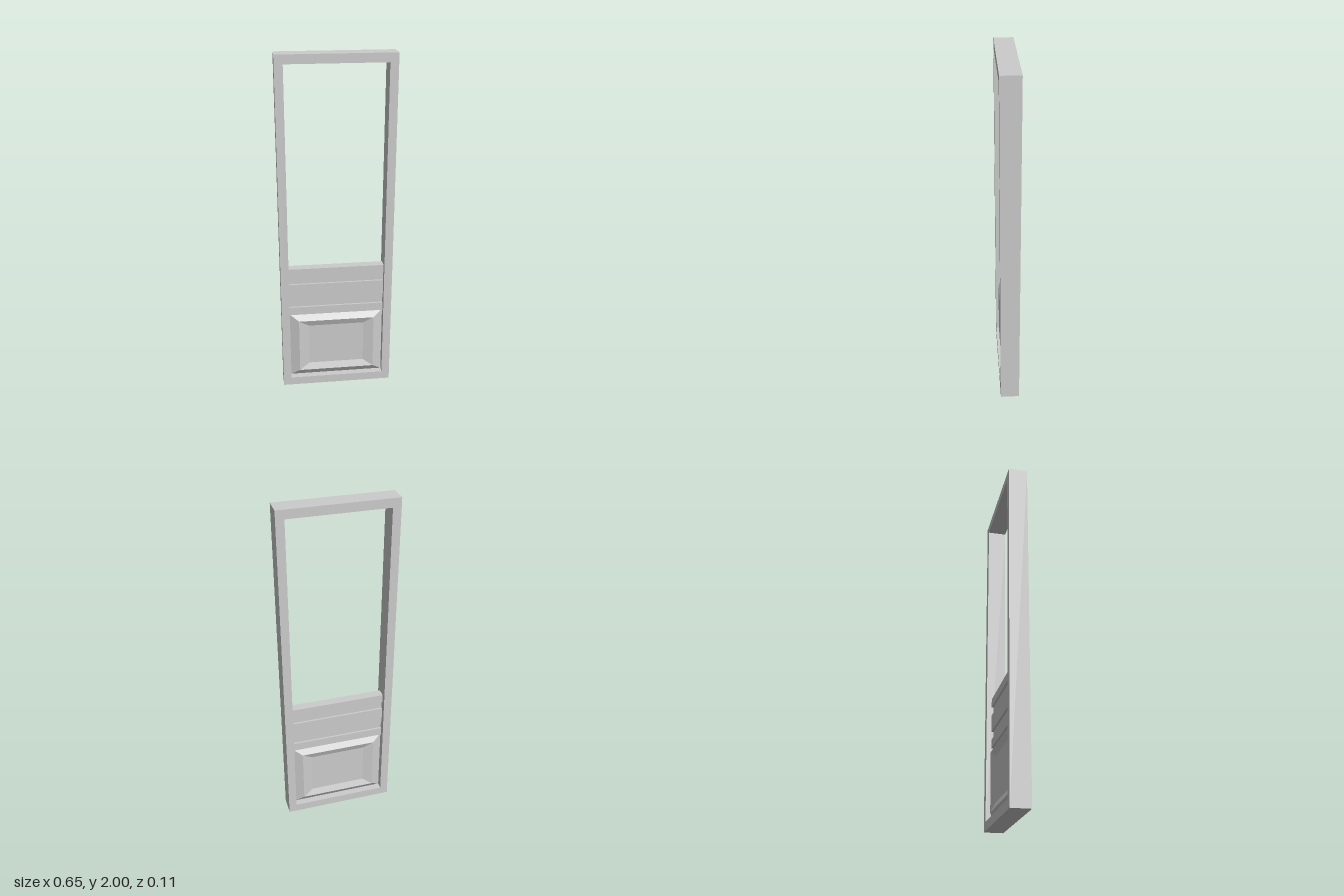
import * as THREE from 'three';

const material = new THREE.MeshStandardMaterial({ color: 0xcccccc, flatShading: true });
const IN_X = 0.28; // half width of the opening
const IN_Y = 0.05; // bottom of the opening

function addMesh(parent, geometry, name) {
  const mesh = new THREE.Mesh(geometry, material);
  mesh.name = name;
  parent.add(mesh);
  return mesh;
}

// Outer frame with one tall opening
function frameGeometry() {
  const w = 0.327, d = 0.11;
  const shape = new THREE.Shape([[-w, 0], [w, 0], [w, 2], [-w, 2]].map(p => new THREE.Vector2(...p)));
  shape.holes.push(new THREE.Path(
    [[-IN_X, IN_Y], [-IN_X, 1.95], [IN_X, 1.95], [IN_X, IN_Y]].map(p => new THREE.Vector2(...p))));
  return new THREE.ExtrudeGeometry(shape, { depth: d, bevelEnabled: false }).translate(0, 0, -d / 2);
}

// One face of the panel: nested rectangles [half width, half height, z], closed by a flat field
function panelFaceGeometry(rings, centreY) {
  const positions = [], index = [];
  for (const [w, h, z] of rings) {
    positions.push(-w, centreY - h, z, w, centreY - h, z, w, centreY + h, z, -w, centreY + h, z);
  }
  for (let r = 0; r < rings.length - 1; r++) {
    for (let i = 0; i < 4; i++) {
      const j = (i + 1) % 4;
      const a = r * 4 + i, b = r * 4 + j, c = b + 4, d = a + 4;
      index.push(a, b, c, a, c, d);
    }
  }
  const l = (rings.length - 1) * 4;
  index.push(l, l + 1, l + 2, l, l + 2, l + 3);
  const geometry = new THREE.BufferGeometry();
  geometry.setAttribute('position', new THREE.Float32BufferAttribute(positions, 3));
  geometry.setIndex(index);
  const flat = geometry.toNonIndexed();
  flat.computeVertexNormals();
  return flat;
}

export function createModel() {
  const group = new THREE.Group();
  group.name = 'doorPanel';

  addMesh(group, frameGeometry(), 'frame');

  // Crossrail: raised and recessed bands, extruded across the opening
  const raised = 0.026, recessed = 0.014;
  const bands = [[0.47, 0.52, raised], [0.52, 0.57, recessed], [0.57, 0.67, raised],
    [0.67, 0.72, recessed], [0.72, 0.77, raised]];
  const front = bands.flatMap(([y0, y1, z]) => [[z, y0], [z, y1]]);
  const back = front.map(([z, y]) => [-z, y]).reverse();
  const profile = new THREE.Shape([...front, ...back].map(p => new THREE.Vector2(...p)));
  const rail = new THREE.ExtrudeGeometry(profile, { depth: 2 * IN_X, bevelEnabled: false })
    .translate(0, 0, -IN_X)
    .rotateY(-Math.PI / 2); // profile x becomes z, extrusion runs along x
  addMesh(group, rail, 'bandedRail');

  // Lower panel: moulding rising to a rim, then sloping in to a flat field
  const rings = [[IN_X, 0.21, 0.014], [0.225, 0.17, 0.04], [0.165, 0.13, 0.024]];
  for (const side of ['Front', 'Back']) {
    const face = addMesh(group, panelFaceGeometry(rings, 0.26), 'lowerPanel' + side);
    if (side === 'Back') face.rotation.y = Math.PI;
  }
  return group;
}
